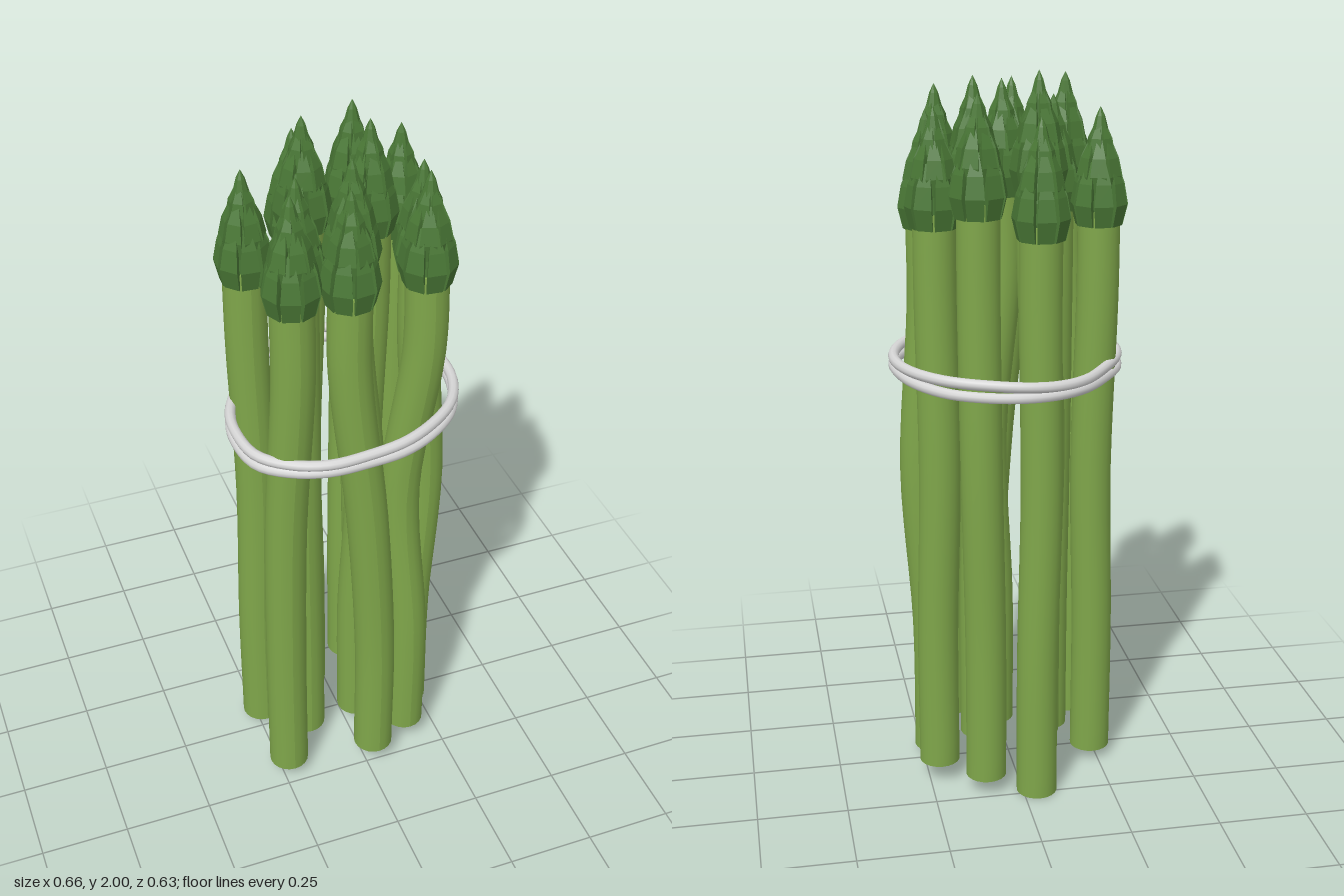
import * as THREE from 'three';
import { mergeGeometries } from 'three/addons/utils/BufferGeometryUtils.js';

// Stalks: tip height, foot height, then [x, z] at foot, middle and top
const STALKS = [
  [1.90, 0.00, [-0.04, -0.23], [-0.05, -0.225], [-0.045, -0.22]],
  [1.96, 0.05, [0.10, -0.20], [0.11, -0.21], [0.115, -0.205]],
  [1.92, 0.06, [0.22, -0.11], [0.21, -0.12], [0.215, -0.115]],
  [1.985, 0.10, [0.09, -0.04], [0.08, -0.03], [0.10, -0.04]],
  [1.89, 0.025, [0.215, 0.04], [0.243, 0.035], [0.215, 0.035]],
  [2.00, 0.10, [-0.08, -0.065], [-0.09, -0.06], [-0.065, -0.085]],
  [1.90, 0.03, [-0.235, -0.05], [-0.225, -0.05], [-0.235, -0.055]],
  [1.92, 0.05, [-0.13, 0.065], [-0.135, 0.07], [-0.135, 0.065]],
  [1.96, 0.08, [0.03, 0.075], [0.045, 0.09], [0.00, 0.095]],
  [1.94, 0.07, [0.15, 0.17], [0.125, 0.145], [0.17, 0.18]],
  [1.96, 0.04, [-0.225, 0.18], [-0.22, 0.19], [-0.20, 0.215]],
  [1.95, 0.06, [0.03, 0.22], [0.0, 0.225], [-0.05, 0.22]],
];

// Band outline seen from above, [x, z]
const BAND = [
  [0, -0.3], [0.1, -0.285], [0.2, -0.24], [0.27, -0.16], [0.305, -0.07], [0.313, 0.02],
  [0.295, 0.1], [0.25, 0.18], [0.17, 0.245], [0.08, 0.285], [-0.02, 0.297], [-0.13, 0.295],
  [-0.22, 0.26], [-0.295, 0.19], [-0.315, 0.07], [-0.3, -0.02], [-0.24, -0.13],
  [-0.16, -0.235], [-0.08, -0.285],
];

// Whorls of scales: drop below tip, height, bottom/bulge/top radius, width, count
const WHORLS = [
  [0.31, 0.17, 0.060, 0.073, 0.044, 0.050, 8],
  [0.225, 0.14, 0.050, 0.057, 0.028, 0.044, 7],
  [0.155, 0.11, 0.033, 0.036, 0.014, 0.032, 6],
];

// One scale: a plate that bulges outwards and narrows towards its top
function scaleGeometry([, height, r0, r1, r2, width]) {
  const g = new THREE.BoxGeometry(1, 1, 1, 1, 3, 1);
  const p = g.attributes.position;
  const radii = [r0, r1, (r1 + r2) / 2 + 0.005, r2];
  const widths = [0.85, 1, 0.8, 0.3];
  for (let i = 0; i < p.count; i++) {
    const t = p.getY(i) + 0.5;
    const k = Math.round(t * 3);
    const inner = p.getZ(i) < 0;
    p.setXYZ(i, p.getX(i) * width * widths[k] * (inner ? 0.75 : 1), t * height, radii[k] - (inner ? 0.02 : 0));
  }
  g.computeVertexNormals();
  return g;
}

// Whole tip with its point at the origin
function headGeometry() {
  const parts = [];
  WHORLS.forEach((w, row) => {
    for (let i = 0; i < w[6]; i++) {
      const g = scaleGeometry(w);
      g.rotateY(((i + row * 0.5) / w[6]) * Math.PI * 2);
      g.translate(0, -w[0], 0);
      parts.push(g);
    }
  });
  const core = [[0, -0.29], [0.052, -0.29], [0.053, -0.21], [0.036, -0.13], [0.024, -0.07], [0.012, -0.025], [0, 0]];
  parts.push(new THREE.LatheGeometry(core.map(([r, y]) => new THREE.Vector2(r, y)), 8));
  return mergeGeometries(parts);
}

// Round stalk swept up a curve, with level closed ends
function stalkGeometry(curve, radius) {
  const rows = 24;
  const g = new THREE.CylinderGeometry(radius, radius, 1, 20, rows);
  const p = g.attributes.position;
  const c = new THREE.Vector3();
  for (let i = 0; i < p.count; i++) {
    curve.getPoint(THREE.MathUtils.clamp(p.getY(i) + 0.5, 0, 1), c);
    p.setXYZ(i, p.getX(i) + c.x, c.y, p.getZ(i) + c.z);
  }
  g.computeVertexNormals();
  return g;
}

export function createModel() {
  const model = new THREE.Group();
  model.name = 'asparagusBundle';
  const stalkGreen = new THREE.MeshStandardMaterial({ color: 0x7fa64a });
  stalkGreen.name = 'stalkGreen';
  const tipGreen = new THREE.MeshStandardMaterial({ color: 0x4a7836, flatShading: true });
  tipGreen.name = 'tipGreen';
  const bandGrey = new THREE.MeshStandardMaterial({ color: 0xd6d6d6 });
  bandGrey.name = 'bandGrey';

  // Spears
  const head = headGeometry();
  STALKS.forEach(([tip, foot, a, b, c], i) => {
    const spear = new THREE.Group();
    spear.name = `spear${i + 1}`;
    const top = tip - 0.27;
    const at = (q, t) => new THREE.Vector3(q[0], foot + (top - foot) * t, q[1]);
    const curve = new THREE.CatmullRomCurve3([at(a, 0), at(a, 0.25), at(b, 0.55), at(c, 0.85), at(c, 1)]);
    const stalk = new THREE.Mesh(stalkGeometry(curve, 0.057), stalkGreen);
    stalk.name = 'stalk';
    const tipMesh = new THREE.Mesh(head, tipGreen);
    tipMesh.name = 'tip';
    tipMesh.position.set(c[0], tip, c[1]);
    tipMesh.rotation.y = i * 1.3;
    spear.add(stalk, tipMesh);
    model.add(spear);
  });

  // Elastic band wound twice around the bundle
  for (const side of [-1, 1]) {
    const points = BAND.map(([x, z], i) =>
      new THREE.Vector3(x, 1.207 + x * 0.035 + side * (0.014 + 0.003 * Math.sin(i)), z));
    const curve = new THREE.CatmullRomCurve3(points, true);
    const loop = new THREE.Mesh(new THREE.TubeGeometry(curve, 76, 0.0145, 10, true), bandGrey);
    loop.name = side < 0 ? 'lowerBandLoop' : 'upperBandLoop';
    model.add(loop);
  }
  return model;
}
